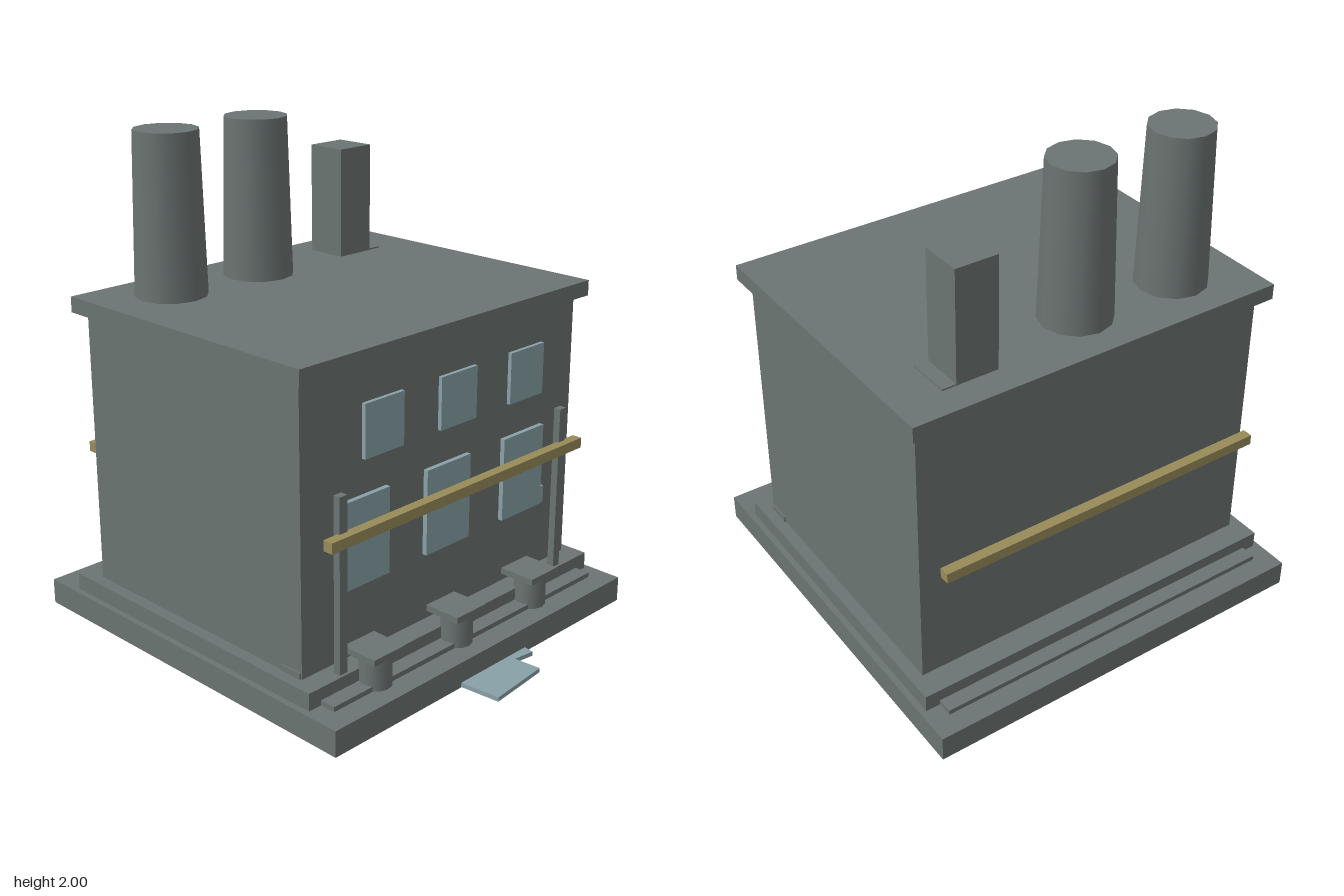
import * as THREE from 'three';

export function createModel() {
  const model = new THREE.Group();
  model.name = 'factory';
  const material = (name, color) => {
    const m = new THREE.MeshStandardMaterial({ color });
    m.name = name;
    return m;
  };
  const stone = material('greyStone', 0x6b7472);
  const glass = material('paleGlass', 0x88a2a7);
  const wood = material('ochreWood', 0x988b59);

  const add = (name, geometry, mat, x, y, z) => {
    const mesh = new THREE.Mesh(geometry, mat);
    mesh.name = name;
    mesh.position.set(x, y, z);
    model.add(mesh);
    return mesh;
  };
  // Box given by its extents on each axis
  const box = (name, mat, [x0, x1], [y0, y1], [z0, z1]) =>
    add(name, new THREE.BoxGeometry(x1 - x0, y1 - y0, z1 - z0), mat,
      (x0 + x1) / 2, (y0 + y1) / 2, (z0 + z1) / 2);

  // Stepped base
  box('baseSlab', stone, [-0.835, 0.835], [0, 0.105], [-0.918, 0.75]);
  box('baseTrim', stone, [-0.75, 0.75], [0.1, 0.125], [-0.833, 0.658]);
  box('plinth', stone, [-0.81, 0.81], [0.1, 0.175], [-0.77, 0.592]);

  // Main block and roof
  box('walls', stone, [-0.76, 0.76], [0.17, 1.3], [-0.67, 0.505]);
  box('roof', stone, [-0.798, 0.798], [1.297, 1.36], [-0.722, 0.548]);

  // Tapered round chimneys
  for (const x of [-0.503, -0.053]) {
    add('chimney', new THREE.CylinderGeometry(0.127, 0.144, 0.65, 12), stone, x, 1.675, -0.473);
  }

  // Square stack with its foot plate
  box('squareStack', stone, [0.373, 0.547], [1.355, 1.815], [-0.6, -0.425]);
  box('stackPlate', stone, [0.43, 0.605], [1.355, 1.366], [-0.6, -0.425]);

  // Two rows of windows
  for (const x of [-0.402, -0.002, 0.398]) {
    box('upperWindow', glass, [x - 0.1, x + 0.1], [0.963, 1.17], [0.55, 0.566]);
  }
  for (const x of [-0.452, -0.002, 0.448]) {
    box('lowerWindow', glass, [x - 0.123, x + 0.123], [0.455, 0.8], [0.5, 0.525]);
  }

  // Paired parts: posts, window side pieces, wall foot blocks
  for (const s of [-1, 1]) {
    const span = (a, b) => (s > 0 ? [a, b] : [-b, -a]);
    box('post', stone, span(0.605, 0.643), [0.17, 0.867], [0.55, 0.58]);
    box('windowSide', glass, span(0.56, 0.597), [0.455, 0.525], [0.5, 0.518]);
    box('footBlock', stone, span(0.75, 0.766), [0.17, 0.2], [0.4, 0.5]);
  }

  // Long beams, front and back
  box('frontBeam', wood, [-0.712, 0.712], [0.685, 0.727], [0.57, 0.612]);
  box('backBeam', wood, [-0.712, 0.712], [0.685, 0.727], [-0.778, -0.736]);

  // Capped bollards
  for (const x of [-0.503, -0.053, 0.397]) {
    add('bollard', new THREE.CylinderGeometry(0.064, 0.064, 0.135, 12), stone, x, 0.168, 0.622);
    box('bollardCap', stone, [x - 0.08, x + 0.08], [0.23, 0.255], [0.537, 0.693]);
  }

  // Overlapping glass slabs at the foot of the base
  for (const [x, z, turn] of [[-0.026, 0.78, 0.09], [0.086, 0.65, -0.14]]) {
    add('groundPane', new THREE.BoxGeometry(0.28, 0.018, 0.25), glass, x, 0.011, z).rotation.y = turn;
  }
  return model;
}
